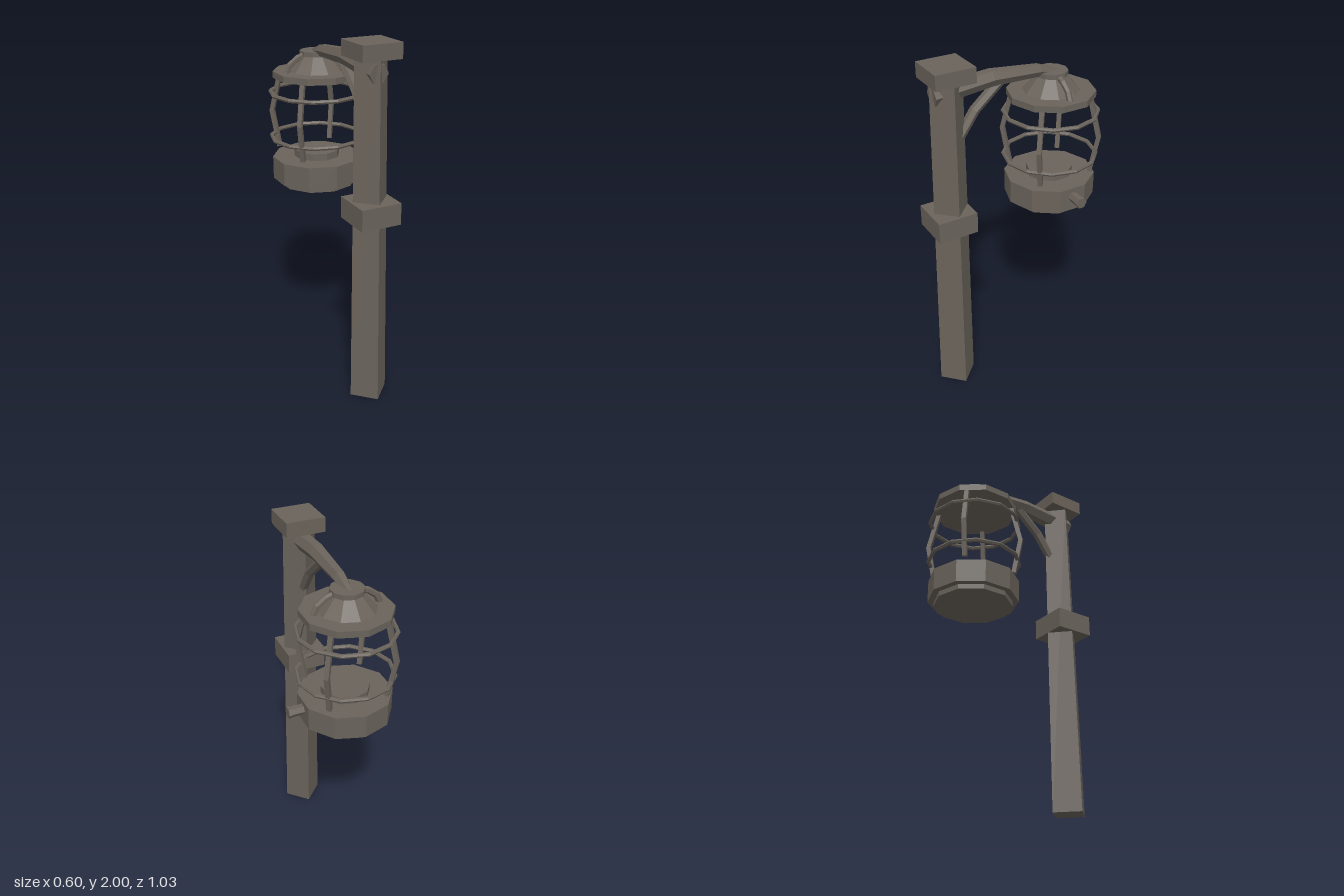
import * as THREE from 'three';

const material = new THREE.MeshStandardMaterial({ color: 0x6a635b, flatShading: true });
material.name = 'weathered grey brown';

// Closed beam following a path in the local xy plane; points are [x, y, radius]
function beam(points, sides, phase = 0) {
  const pos = [], index = [], last = points.length - 1;
  points.forEach(([x, y, r], i) => {
    const a = points[Math.max(i - 1, 0)], b = points[Math.min(i + 1, last)];
    const len = Math.hypot(b[0] - a[0], b[1] - a[1]);
    const tx = (b[0] - a[0]) / len, ty = (b[1] - a[1]) / len;
    for (let j = 0; j < sides; j++) {
      const ang = phase + (j / sides) * Math.PI * 2;
      const c = Math.cos(ang) * r;
      pos.push(x - ty * c, y + tx * c, Math.sin(ang) * r);
    }
  });
  for (let i = 0; i < last; i++) {
    for (let j = 0; j < sides; j++) {
      const k = (j + 1) % sides, p = i * sides, q = p + sides;
      index.push(p + j, p + k, q + k, p + j, q + k, q + j);
    }
  }
  for (let j = 1; j < sides - 1; j++) {
    index.push(0, j + 1, j, last * sides, last * sides + j, last * sides + j + 1);
  }
  const geo = new THREE.BufferGeometry();
  geo.setAttribute('position', new THREE.Float32BufferAttribute(pos, 3));
  geo.setIndex(index);
  geo.computeVertexNormals();
  return geo;
}

function add(parent, name, geometry, x = 0, y = 0, z = 0) {
  const mesh = new THREE.Mesh(geometry, material);
  mesh.name = name;
  mesh.position.set(x, y, z);
  parent.add(mesh);
  return mesh;
}

export function createModel() {
  const model = new THREE.Group();
  model.name = 'lanternPost';
  const cx = -0.03;

  // Post, bracket arm and brace run in the zy plane: local x is -z
  const sideBeam = (name, points, sides, phase) => {
    const path = points.map(([z, y, r]) => [-z, y, r]);
    add(model, name, beam(path, sides, phase), cx).rotation.y = Math.PI / 2;
  };
  sideBeam('post', [[0.4, 0.001, 0.113], [0.379, 1.95, 0.093]], 4);
  sideBeam('arm', [
    [0.46, 1.85, 0.054], [0.125, 1.879, 0.047], [-0.155, 1.862, 0.036], [-0.268, 1.83, 0.023],
  ], 6, Math.PI / 6);
  sideBeam('brace', [[0.34, 1.56, 0.028], [0.225, 1.722, 0.028], [0.07, 1.855, 0.028]], 6, Math.PI / 6);
  add(model, 'postCap', new THREE.BoxGeometry(0.222, 0.082, 0.222), cx + 0.003, 1.959, 0.378);
  add(model, 'postCollar', new THREE.BoxGeometry(0.23, 0.12, 0.23), cx, 1.12, 0.401);

  // Lantern
  const lantern = new THREE.Group();
  lantern.name = 'lantern';
  lantern.position.set(cx, 0, -0.243);
  model.add(lantern);

  // Ten sided layers: name, top radius, bottom radius, bottom y, top y
  const layers = [
    ['baseFoot', 0.222, 0.222, 1.08, 1.11],
    ['baseTank', 0.257, 0.257, 1.108, 1.24],
    ['burnerPlate', 0.132, 0.132, 1.238, 1.28],
    ['roofBrim', 0.244, 0.244, 1.702, 1.738],
    ['roofCone', 0.08, 0.16, 1.736, 1.825],
    ['roofCap', 0.09, 0.09, 1.823, 1.849],
  ];
  for (const [name, top, bottom, y0, y1] of layers) {
    add(lantern, name, new THREE.CylinderGeometry(top, bottom, y1 - y0, 10), 0, (y0 + y1) / 2);
  }

  // Cage: two hoops and four bent bars
  for (const y of [1.615, 1.355]) {
    const hoop = new THREE.TorusGeometry(0.261, 0.012, 6, 12).rotateX(Math.PI / 2);
    add(lantern, 'cageHoop', hoop, 0, y);
  }
  const bar = beam([[0.232, 1.27, 0.018], [0.273, 1.482, 0.018], [0.217, 1.712, 0.018]], 4, Math.PI / 4);
  for (let i = 0; i < 4; i++) {
    add(lantern, 'cageBar', bar).rotation.y = Math.PI / 4 + (i * Math.PI) / 2;
  }

  // Carrying handle arched over the roof
  const half = [[0.187, 1.72], [0.16, 1.778], [0.113, 1.813], [0.06, 1.832]];
  const arch = [
    ...half.map(([x, y]) => [-x, y, 0.018]),
    ...half.slice().reverse().map(([x, y]) => [x, y, 0.018]),
  ];
  add(lantern, 'handle', beam(arch, 6), 0, 0, 0);

  // Wick knob on the left side
  const shaft = new THREE.CylinderGeometry(0.029, 0.029, 0.1, 6).rotateZ(-Math.PI / 2);
  add(lantern, 'knobShaft', shaft, 0.27, 1.188);
  const lip = new THREE.CylinderGeometry(0.033, 0.033, 0.016, 6).rotateZ(-Math.PI / 2);
  add(lantern, 'knobLip', lip, 0.323, 1.188);

  return model;
}
